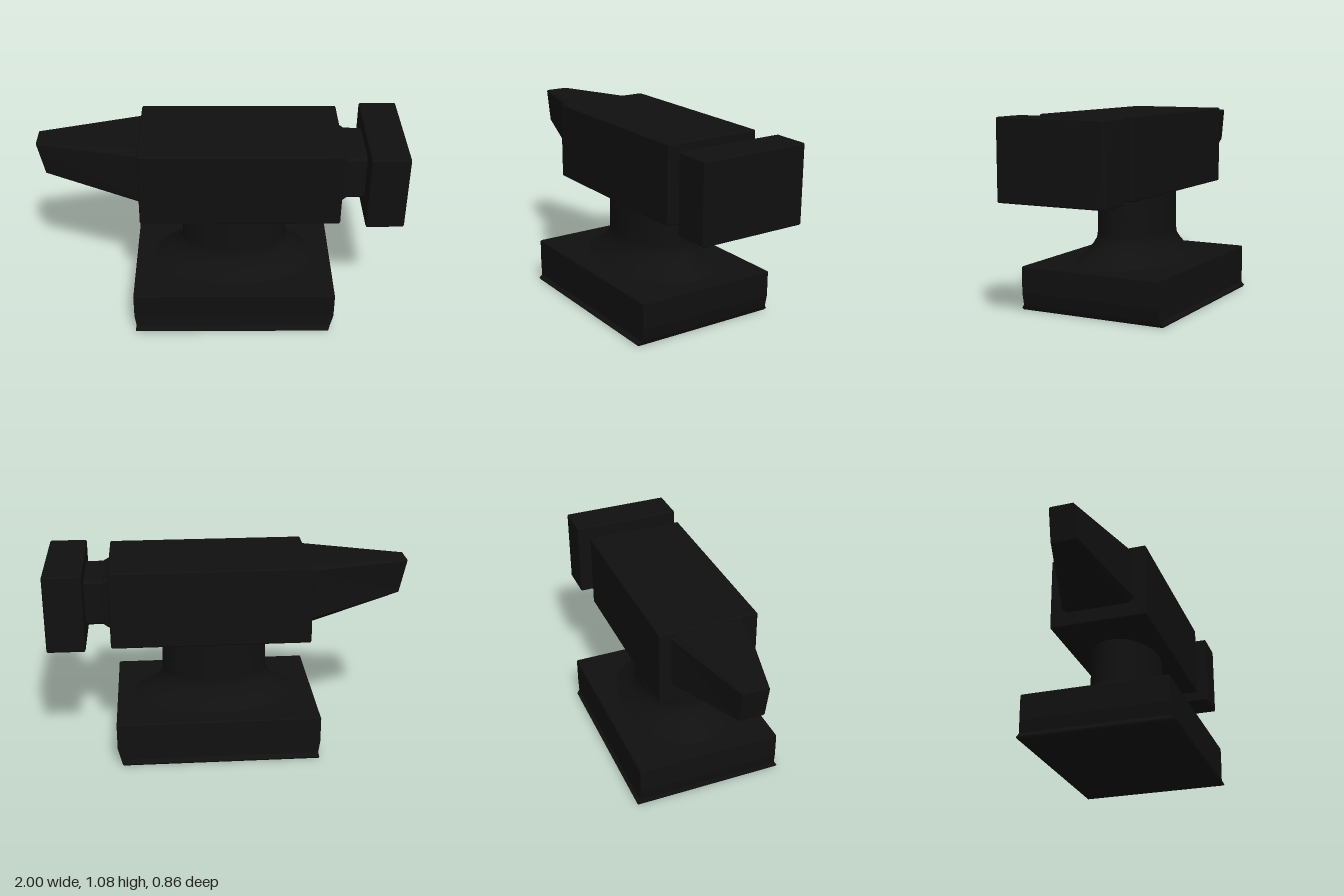
import * as THREE from 'three';

const iron = new THREE.MeshStandardMaterial({ color: 0x101010 });
iron.name = 'blackIron';

// Closed, flat-faced skin through matching rings of points
function loft(name, rings) {
  const pos = [];
  const tri = (a, b, c) => pos.push(...a, ...b, ...c);
  const n = rings[0].length;
  for (let r = 0; r < rings.length - 1; r++) {
    const a = rings[r], b = rings[r + 1];
    for (let i = 0; i < n; i++) {
      const j = (i + 1) % n;
      tri(a[i], a[j], b[j]);
      tri(a[i], b[j], b[i]);
    }
  }
  const first = rings[0], last = rings[rings.length - 1];
  for (let i = 1; i < n - 1; i++) {
    tri(first[0], first[i + 1], first[i]);
    tri(last[0], last[i], last[i + 1]);
  }
  const geo = new THREE.BufferGeometry();
  geo.setAttribute('position', new THREE.Float32BufferAttribute(pos, 3));
  geo.computeVertexNormals();
  const mesh = new THREE.Mesh(geo, iron);
  mesh.name = name;
  return mesh;
}

// Chamfered rectangle across x; its top may sit at another x than its bottom
function ringX(x, y0, y1, z, c = 0.006, xTop = x) {
  return [
    [y0, z - c], [y0, c - z], [y0 + c, -z], [y1 - c, -z],
    [y1, c - z], [y1, z - c], [y1 - c, z], [y0 + c, z],
  ].map(([y, zz]) => [x + (xTop - x) * (y - y0) / (y1 - y0), y, zz]);
}

// Rectangle across y
const ringY = (y, x0, x1, z) => [[x0, y, z], [x1, y, z], [x1, y, -z], [x0, y, -z]];

// Block along x with slightly eased end edges
function block(name, x0, x1, y0, y1, z) {
  const e = 0.006;
  return loft(name, [
    ringX(x0, y0 + e, y1 - e, z - e), ringX(x0 + e, y0, y1, z),
    ringX(x1 - e, y0, y1, z), ringX(x1, y0 + e, y1 - e, z - e),
  ]);
}

export function createModel() {
  const anvil = new THREE.Group();
  anvil.name = 'anvil';

  // Foot with a thin lip at the bottom
  anvil.add(loft('base', [
    ringY(0, -0.48, 0.605, 0.425),
    ringY(0.01, -0.485, 0.612, 0.432),
    ringY(0.03, -0.48, 0.62, 0.415),
    ringY(0.1, -0.49, 0.637, 0.413),
    ringY(0.242, -0.49, 0.637, 0.413),
    ringY(0.248, -0.487, 0.634, 0.407),
  ]));

  // Oval waist flaring onto the foot
  const profile = [
    [0.312, 0.245], [0.247, 0.3], [0.222, 0.335], [0.202, 0.37],
    [0.198, 0.4], [0.196, 0.65],
  ].map(([r, y]) => new THREE.Vector2(r, y));
  const waist = new THREE.Mesh(new THREE.LatheGeometry(profile, 40), iron);
  waist.name = 'waist';
  waist.scale.x = 1.5;
  waist.position.x = 0.077;
  anvil.add(waist);

  // Main body and the heel block
  anvil.add(block('body', -0.443, 0.652, 0.643, 1.075, 0.277));
  anvil.add(block('heelBlock', 0.787, 0.995, 0.645, 1.075, 0.31));

  // Neck between body and heel
  anvil.add(loft('neck', [
    ringX(0.64, 0.72, 1.02, 0.19, 0.015),
    ringX(0.665, 0.728, 1.01, 0.185, 0.015),
    ringX(0.69, 0.742, 0.997, 0.175, 0.015),
    ringX(0.8, 0.742, 0.997, 0.17, 0.015),
  ]));

  // Tapering horn with a slanted tip
  anvil.add(loft('horn', [
    ringX(-0.96, 0.845, 1.035, 0.07, 0.006, -1),
    ringX(-0.43, 0.725, 1.066, 0.212, 0.03),
  ]));

  return anvil;
}
